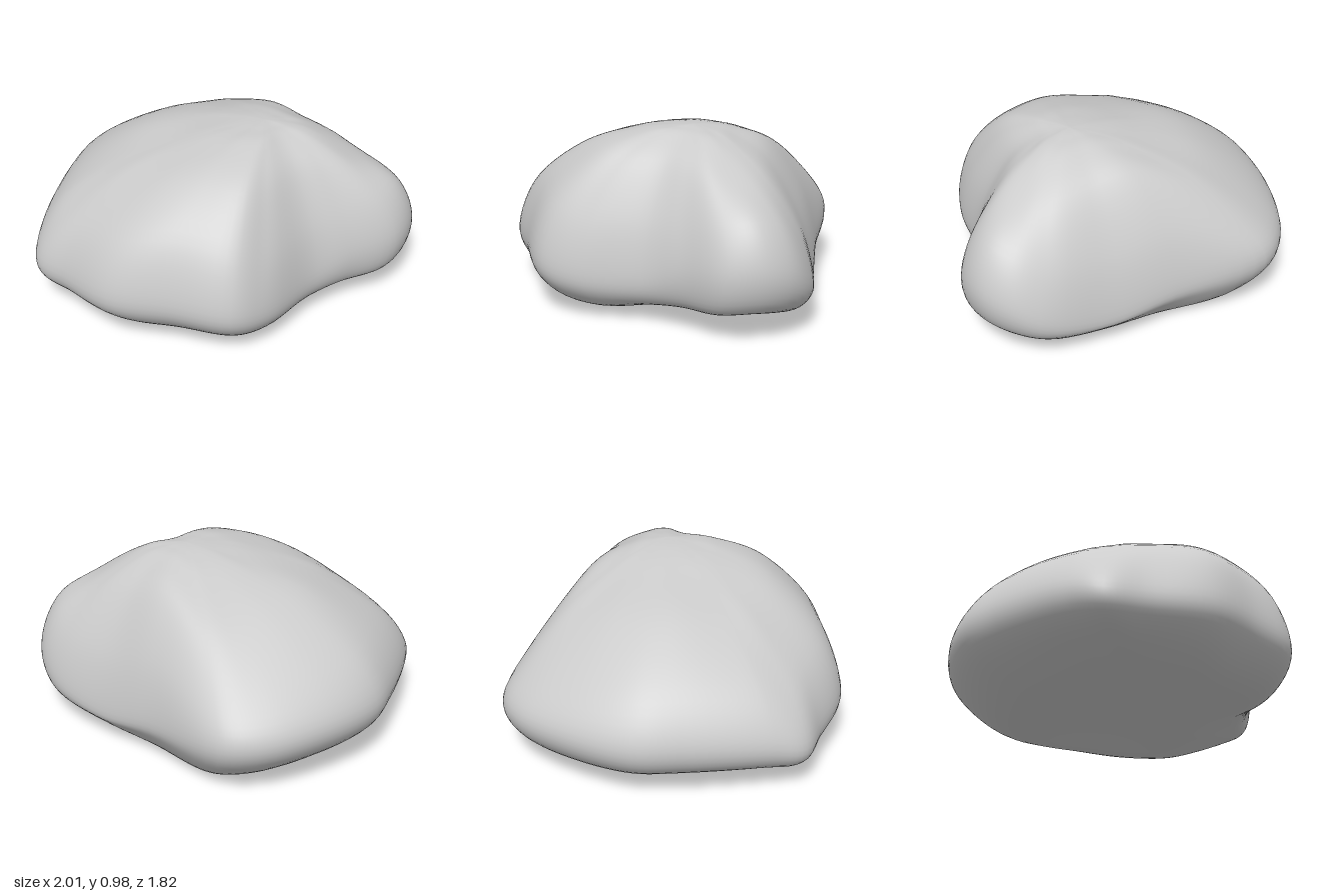
import * as THREE from 'three';

// One row per spoke: rim x, rim z, rim height, then heights at 88 %, 60 % and 30 % of the spoke, foot height
const SPOKES = [
  [1.0, -0.17, 0.40, 0.63, 0.78, 0.93, 0.12],
  [0.95, 0.02, 0.38, 0.60, 0.80, 0.935, 0.11],
  [0.74, 0.20, 0.34, 0.57, 0.82, 0.94, 0.10],
  [0.58, 0.37, 0.28, 0.55, 0.82, 0.945, 0.08],
  [0.43, 0.70, 0.28, 0.54, 0.82, 0.95, 0.05],
  [0.28, 0.86, 0.32, 0.60, 0.85, 0.955, 0.05],
  [-0.05, 0.89, 0.34, 0.64, 0.86, 0.955, 0.05],
  [-0.38, 0.90, 0.32, 0.60, 0.83, 0.94, 0.05],
  [-0.69, 0.75, 0.29, 0.56, 0.80, 0.93, 0.06],
  [-0.88, 0.65, 0.28, 0.52, 0.78, 0.92, 0.07],
  [-0.95, 0.45, 0.33, 0.57, 0.79, 0.92, 0.08],
  [-1.0, 0.0, 0.36, 0.60, 0.82, 0.92, 0.07],
  [-0.99, -0.25, 0.36, 0.59, 0.81, 0.92, 0.06],
  [-0.85, -0.55, 0.36, 0.56, 0.79, 0.915, 0.04],
  [-0.60, -0.83, 0.34, 0.52, 0.76, 0.91, 0.02],
  [-0.38, -0.91, 0.33, 0.51, 0.765, 0.915, 0.01],
  [0.10, -0.72, 0.27, 0.56, 0.845, 0.945, 0.0],
  [0.45, -0.60, 0.20, 0.50, 0.81, 0.94, 0.015],
  [0.80, -0.48, 0.27, 0.52, 0.78, 0.93, 0.06],
  [0.95, -0.34, 0.36, 0.59, 0.775, 0.925, 0.10],
];
const PEAK = { x: 0.2, y: 0.98, z: 0 };
const AROUND = 120, DOWN = 50;

// Closed smooth curve through three columns of the spoke table
function ringCurve(columns) {
  const points = SPOKES.map((s) => new THREE.Vector3(...columns.map((c) => s[c])));
  return new THREE.CatmullRomCurve3(points, true, 'centripetal');
}

// Section of the stone along one spoke: x is the fraction of the spoke, y the height
function spokeSection(rimHeight, shoulder, foot) {
  const dome = PEAK.y - (PEAK.y - shoulder.z) * 0.22;
  return new THREE.SplineCurve([
    [0, PEAK.y], [0.12, dome], [0.3, shoulder.z], [0.6, shoulder.y], [0.88, shoulder.x],
    [1, rimHeight], [0.94, rimHeight * 0.5], [0.72, foot], [0.35, 0.045], [0, 0.05],
  ].map(([x, y]) => new THREE.Vector2(x, y)));
}

function stoneGeometry() {
  const rimCurve = ringCurve([0, 2, 1]);
  const shoulderCurve = ringCurve([3, 4, 5]);
  const footCurve = ringCurve([0, 6, 1]);
  const position = [PEAK.x, PEAK.y, PEAK.z];
  const index = [];

  for (let i = 0; i < AROUND; i++) {
    const rim = rimCurve.getPoint(i / AROUND);
    const foot = footCurve.getPoint(i / AROUND).y;
    const section = spokeSection(rim.y, shoulderCurve.getPoint(i / AROUND), foot);
    for (let j = 1; j < DOWN; j++) {
      const p = section.getPoint(j / DOWN);
      position.push(
        PEAK.x + (rim.x - PEAK.x) * p.x,
        Math.max(p.y, 0),
        PEAK.z + (rim.z - PEAK.z) * p.x,
      );
    }
  }
  position.push(PEAK.x, 0.05, PEAK.z);

  // Skin with shared vertices, closed by a fan at the crown and underneath
  const last = position.length / 3 - 1;
  const at = (i, j) => 1 + (i % AROUND) * (DOWN - 1) + j - 1;
  for (let i = 0; i < AROUND; i++) {
    index.push(0, at(i + 1, 1), at(i, 1));
    for (let j = 1; j < DOWN - 1; j++) {
      const a = at(i, j), b = at(i + 1, j), c = at(i, j + 1), d = at(i + 1, j + 1);
      index.push(a, b, c, b, d, c);
    }
    index.push(at(i, DOWN - 1), at(i + 1, DOWN - 1), last);
  }

  const geometry = new THREE.BufferGeometry();
  geometry.setAttribute('position', new THREE.Float32BufferAttribute(position, 3));
  geometry.setIndex(index);
  geometry.computeVertexNormals();
  return geometry;
}

export function createModel() {
  const model = new THREE.Group();
  model.name = 'rock';
  const stone = new THREE.Mesh(
    stoneGeometry(),
    new THREE.MeshStandardMaterial({ color: 0xcccccc }),
  );
  stone.name = 'stone';
  model.add(stone);
  return model;
}
